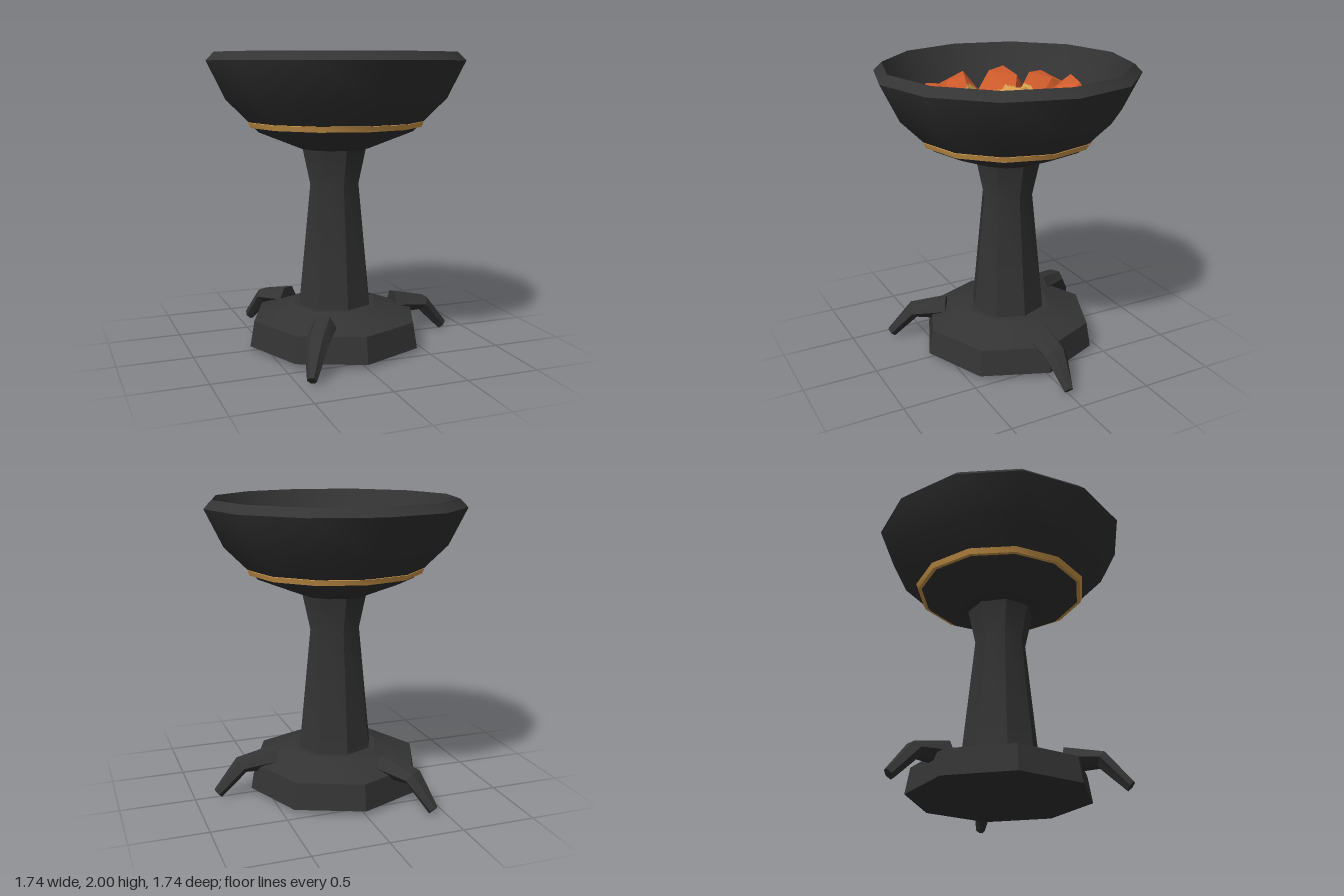
import * as THREE from 'three';
import { toCreasedNormals } from 'three/addons/utils/BufferGeometryUtils.js';
import { ConvexGeometry } from 'three/addons/geometries/ConvexGeometry.js';

const material = (name, color) => {
  const m = new THREE.MeshStandardMaterial({ color });
  m.name = name;
  return m;
};

// Faceted lathe; edges sharper than the crease angle stay hard
function turned(name, profile, sides, crease, mat) {
  const pts = profile.map(([r, y]) => new THREE.Vector2(r, y));
  const mesh = new THREE.Mesh(toCreasedNormals(new THREE.LatheGeometry(pts, sides), crease), mat);
  mesh.name = name;
  return mesh;
}

// Claw lofted along +x from five-sided sections
function clawGeometry() {
  // x, y, normal x, normal y, half height, half width
  const stations = [
    [0.44, 0.235, 0, 1, 0.075, 0.085],
    [0.675, 0.21, 0.5, 0.86, 0.05, 0.08],
    [0.842, 0.026, 0.67, 0.74, 0.034, 0.032],
  ];
  const section = [[1, 0.5], [0, 1], [-1, 0.4], [-1, -0.4], [0, -1], [1, -0.5]];
  const points = [];
  const index = [];
  const n = section.length;
  for (const [x, y, nx, ny, h, w] of stations)
    for (const [up, side] of section) points.push(x + nx * h * up, y + ny * h * up, w * side);
  for (let s = 0; s < stations.length - 1; s++)
    for (let i = 0; i < n; i++) {
      const a = s * n + i, b = s * n + (i + 1) % n;
      index.push(a, b, a + n, b, b + n, a + n);
    }
  const end = (stations.length - 1) * n;
  for (let i = 1; i < n - 1; i++) index.push(0, i + 1, i, end, end + i, end + i + 1);
  // Sections run clockwise about +x, so flip every face outward
  for (let i = 0; i < index.length; i += 3) {
    const [a, b, c] = [1, 2, 0].map((k) => new THREE.Vector3().fromArray(points, index[i + k] * 3));
    const normal = b.clone().sub(a).cross(c.clone().sub(a));
    const mid = a.clone().add(b).add(c).divideScalar(3);
    const core = new THREE.Vector3(0.66, 0.17, 0);
    const t = THREE.MathUtils.clamp((mid.x - 0.44) / 0.4, 0, 1);
    core.set(0.47 + 0.35 * t, t < 0.58 ? 0.235 - 0.043 * t : 0.21 - 0.44 * (t - 0.58), 0);
    if (normal.dot(mid.sub(core)) < 0) [index[i + 1], index[i + 2]] = [index[i + 2], index[i + 1]];
  }
  const geo = new THREE.BufferGeometry();
  geo.setAttribute('position', new THREE.Float32BufferAttribute(points, 3));
  geo.setIndex(index);
  return toCreasedNormals(geo, 0.3);
}

// Angular lump whose widest ring follows a plan outline of x, z pairs
function lump(outline, mid, half, seed) {
  const ring = [];
  for (let i = 0; i < outline.length; i += 2) ring.push(new THREE.Vector3(outline[i], mid, outline[i + 1]));
  const centre = new THREE.Vector3();
  ring.forEach((p) => centre.addScaledVector(p, 1 / ring.length));
  const points = [];
  ring.forEach((p, i) => {
    const wobble = Math.sin(seed * 2.3 + i * 2.1);
    points.push(p.clone().setY(mid + 0.05 * wobble));
    if (i % 2 === 0) {
      points.push(centre.clone().lerp(p, 0.6).setY(mid + half * (0.85 + 0.15 * wobble)));
      points.push(centre.clone().lerp(p, 0.6).setY(mid - half * 0.9));
    }
  });
  return new ConvexGeometry(points);
}

// Splits the faces finely and groups them: 0 = outside, 1 = glowing inside
function splitByGlow(geo, radius) {
  const sets = [[], []];
  const visit = (a, b, c, depth) => {
    if (depth === 0) {
      const r = Math.hypot(a.x + b.x + c.x, a.z + b.z + c.z) / 3;
      for (const p of [a, b, c]) sets[r < radius ? 1 : 0].push(p.x, p.y, p.z);
      return;
    }
    const [ab, bc, ca] = [[a, b], [b, c], [c, a]].map(([p, q]) => p.clone().lerp(q, 0.5));
    visit(a, ab, ca, depth - 1);
    visit(ab, b, bc, depth - 1);
    visit(ca, bc, c, depth - 1);
    visit(ab, bc, ca, depth - 1);
  };
  const pos = geo.attributes.position;
  for (let i = 0; i < pos.count; i += 3)
    visit(...[0, 1, 2].map((k) => new THREE.Vector3().fromBufferAttribute(pos, i + k)), 3);
  const out = new THREE.BufferGeometry();
  out.setAttribute('position', new THREE.Float32BufferAttribute([...sets[0], ...sets[1]], 3));
  out.addGroup(0, sets[0].length / 3, 0);
  out.addGroup(sets[0].length / 3, sets[1].length / 3, 1);
  out.computeVertexNormals();
  return out;
}

export function createModel() {
  const model = new THREE.Group();
  model.name = 'brazier';
  const iron = material('dark iron', 0x343434);
  const gold = material('glowing gold', 0xd9a04f);
  const ember = material('ember orange', 0xd05c2c);

  // Base, column and bowl
  model.add(turned('base', [[0, 0.03], [0.61, 0.03], [0.58, 0.205], [0.3, 0.29], [0, 0.29]], 8, 0.3, iron));
  model.add(turned('column', [[0.26, 0.28], [0.175, 1.12], [0.23, 1.37]], 8, 0.3, iron));
  model.add(turned('bowl', [
    [0, 1.36], [0.23, 1.36], [0.53, 1.48], [0.75, 1.7], [0.87, 1.945], [0.815, 2],
    [0.7, 1.73], [0.59, 1.55], [0.2, 1.53], [0, 1.53],
  ], 12, 0.6, iron));

  // Gold band, showing both outside and inside the bowl
  model.add(turned('band', [
    [0.55, 1.51], [0.585, 1.51], [0.6, 1.545], [0.585, 1.556], [0.55, 1.51],
  ], 12, 0.6, gold));

  // Three claw feet
  const claw = clawGeometry();
  for (let i = 0; i < 3; i++) {
    const foot = new THREE.Mesh(claw, iron);
    foot.name = 'clawFoot' + (i + 1);
    foot.rotation.y = (i * Math.PI * 2) / 3;
    model.add(foot);
  }

  // Ring of coals, glowing where they face the centre
  const coals = new THREE.Group();
  coals.name = 'coals';
  const outlines = [
    [-0.38, -0.47, -0.15, -0.58, -0.08, -0.44, -0.08, -0.3, -0.2, -0.21, -0.38, -0.28],
    [-0.1, -0.56, 0.13, -0.61, 0.24, -0.47, 0.19, -0.26, 0.1, -0.26, -0.08, -0.31],
    [0.24, -0.42, 0.41, -0.49, 0.55, -0.28, 0.42, -0.11, 0.24, -0.13, 0.16, -0.2],
    [-0.59, -0.27, -0.43, -0.35, -0.3, -0.3, -0.2, -0.17, -0.43, 0, -0.62, -0.15],
    [-0.6, 0.01, -0.3, -0.02, -0.21, 0.17, -0.32, 0.28, -0.4, 0.31, -0.6, 0.26],
    [-0.43, 0.32, -0.18, 0.2, -0.05, 0.32, -0.1, 0.5, -0.2, 0.54, -0.38, 0.49],
    [-0.09, 0.45, 0.04, 0.24, 0.2, 0.25, 0.27, 0.42, 0.2, 0.54, 0, 0.61],
    [0.14, 0.25, 0.4, 0.07, 0.52, 0.28, 0.52, 0.35, 0.4, 0.45, 0.17, 0.35],
  ];
  outlines.forEach((outline, i) => {
    const coal = new THREE.Mesh(splitByGlow(lump(outline, 1.72, 0.16, i), 0.31), [ember, gold]);
    coal.name = 'coal' + (i + 1);
    coals.add(coal);
  });

  // Glowing centre coal
  const heart = new THREE.Mesh(
    lump([0.07, -0.2, 0.17, -0.03, 0.17, 0.09, -0.02, 0.17, -0.2, 0.14, -0.19, -0.12], 1.69, 0.15, 9), gold);
  heart.name = 'centreCoal';
  coals.add(heart);
  model.add(coals);
  return model;
}
